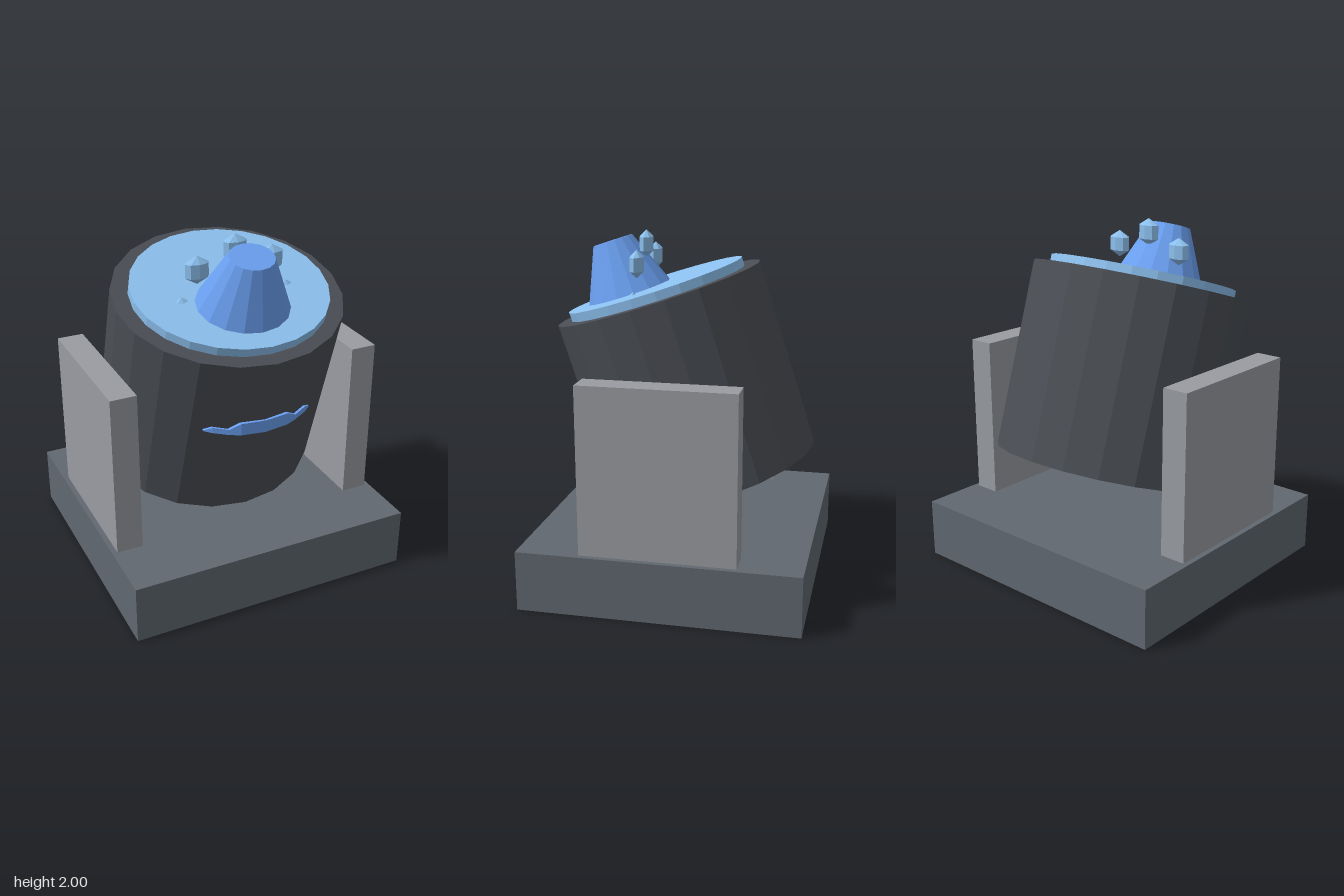
import * as THREE from 'three';

const mat = (color) => new THREE.MeshStandardMaterial({ color, flatShading: true });
const darkGrey = mat(0x606870), drumGrey = mat(0x4a4e54), paleGrey = mat(0x999ca2);
const skyBlue = mat(0x8cc0ee), blue = mat(0x6a9ff0);

function add(parent, name, geometry, material, x = 0, y = 0, z = 0) {
  const mesh = new THREE.Mesh(geometry, material);
  mesh.name = name;
  mesh.position.set(x, y, z);
  parent.add(mesh);
  return mesh;
}

// Thin curved strip that follows the front of the drum
function stripGeometry() {
  // x, bottom y, top y, how far it stands out of the drum
  const half = [[0, 1.01, 1.08, 0.025], [0.14, 1.015, 1.083, 0.025], [0.2, 1.02, 1.05, 0.018],
    [0.28, 1.033, 1.065, 0.014], [0.32, 1.04, 1.046, 0.005]];
  const columns = [...half.slice(1).reverse().map(([x, ...r]) => [-x, ...r]), ...half];
  const pos = [], index = [], n = columns.length;
  for (const [x, bottom, top, out] of columns) {
    const z = -0.03 + 0.635 * Math.sqrt(1 - (x / 0.65) ** 2) + out;
    pos.push(x, bottom, z, x, top, z, x, top, z - 0.08, x, bottom, z - 0.08);
  }
  for (let i = 0; i < n - 1; i++) {
    for (let k = 0; k < 4; k++) {
      const a = i * 4 + k, b = i * 4 + (k + 1) % 4;
      index.push(a, a + 4, b, b, a + 4, b + 4);
    }
  }
  const e = (n - 1) * 4;
  index.push(0, 1, 2, 0, 2, 3, e, e + 2, e + 1, e, e + 3, e + 2);
  const geo = new THREE.BufferGeometry();
  geo.setAttribute('position', new THREE.Float32BufferAttribute(pos, 3));
  geo.setIndex(index);
  geo.computeVertexNormals();
  return geo;
}

export function createModel() {
  const model = new THREE.Group();
  model.name = 'tiltedDrumOnStand';

  // Stand: base slab with two upright side plates
  add(model, 'base', new THREE.BoxGeometry(1.66, 0.34, 1.56), darkGrey, 0, 0.17, 0);
  for (const side of [-1, 1]) {
    add(model, side > 0 ? 'leftSupport' : 'rightSupport',
      new THREE.BoxGeometry(0.15, 0.94, 0.86), paleGrey, side * 0.725, 0.81, 0);
  }

  // Drum, lid and cone lean forward together; all are slightly oval
  const tilted = new THREE.Group();
  tilted.name = 'tiltedDrum';
  tilted.position.y = 1.13;
  tilted.rotation.x = THREE.MathUtils.degToRad(18);
  model.add(tilted);
  const oval = (name, rTop, rBottom, y0, y1, sides, material, z = 0) => {
    const geo = new THREE.CylinderGeometry(rTop, rBottom, y1 - y0, sides);
    add(tilted, name, geo, material, 0, (y0 + y1) / 2, z).scale.z = 0.925;
  };
  oval('drum', 0.65, 0.65, -0.5425, 0.5425, 20, drumGrey);
  oval('lid', 0.557, 0.557, 0.5, 0.593, 24, skyBlue, 0.008);
  oval('cone', 0.125, 0.263, 0.59, 0.901, 16, blue, 0.168);

  // Flattened beads in an upright arc behind the cone
  for (let i = 0; i < 5; i++) {
    const a = (i * Math.PI) / 4;
    add(model, 'bead', new THREE.SphereGeometry(0.078, 8, 3), skyBlue,
      0.31 * Math.cos(a), 1.615 + 0.307 * Math.sin(a), 0.24).scale.z = 0.58;
  }

  // Curved strip across the drum front
  add(model, 'frontStrip', stripGeometry(), blue);
  return model;
}
